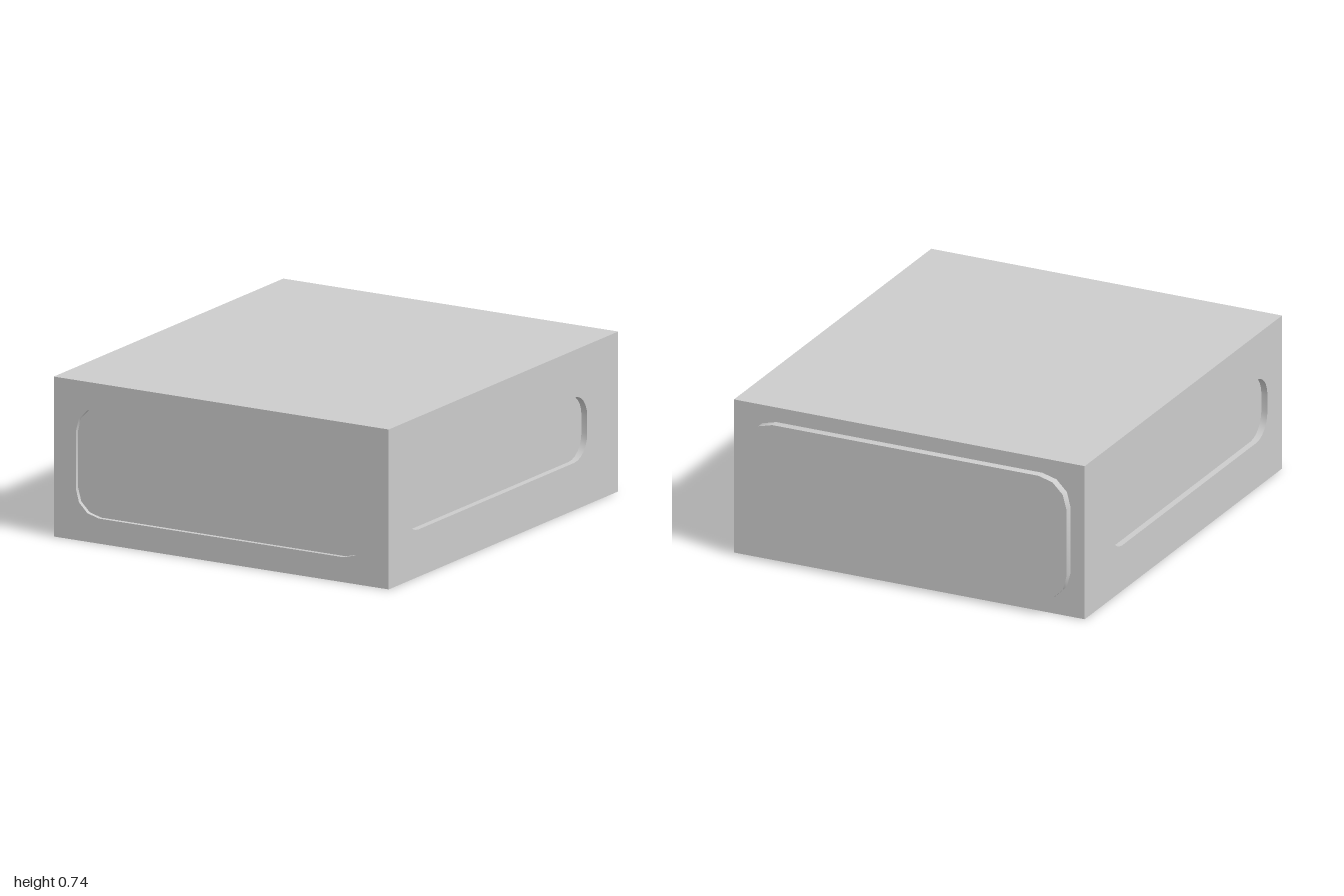
import * as THREE from 'three';
import { toCreasedNormals } from 'three/addons/utils/BufferGeometryUtils.js';

const WIDTH = 1.74, HEIGHT = 0.735, FRONT = 1, BACK = -0.96;
const DEPTH = FRONT - BACK, MID_Z = (FRONT + BACK) / 2;
const material = new THREE.MeshStandardMaterial({ color: 0xcccccc });

// Counter-clockwise rounded rectangle outline centred on (cx, cy)
function roundedOutline(cx, cy, w, h, r, segments) {
  const points = [];
  [[1, 1], [-1, 1], [-1, -1], [1, -1]].forEach(([sx, sy], corner) => {
    for (let i = 0; i <= segments; i++) {
      const a = (corner + i / segments) * Math.PI / 2;
      points.push(new THREE.Vector2(
        cx + sx * (w / 2 - r) + r * Math.cos(a),
        cy + sy * (h / 2 - r) + r * Math.sin(a)));
    }
  });
  return points;
}

// Wall joining the outline at z = 0 to the same outline at z = offset
function wallGeometry(outline, offset) {
  const positions = [], index = [], n = outline.length;
  outline.forEach((p) => positions.push(p.x, p.y, 0, p.x, p.y, offset));
  for (let i = 0; i < n; i++) {
    const a = 2 * i, b = 2 * ((i + 1) % n);
    index.push(a, b, b + 1, a, b + 1, a + 1);
  }
  const geometry = new THREE.BufferGeometry();
  geometry.setAttribute('position', new THREE.Float32BufferAttribute(positions, 3));
  geometry.setIndex(index);
  return toCreasedNormals(geometry, 0.7);
}

function addMesh(parent, name, geometry) {
  const mesh = new THREE.Mesh(geometry, material);
  mesh.name = name;
  parent.add(mesh);
  return mesh;
}

// Flat side of the box with a panel sunk (offset < 0) or raised (offset > 0)
function panelledSide(name, w, h, outline, offset) {
  const side = new THREE.Group();
  side.name = name;
  const surround = new THREE.Shape([
    new THREE.Vector2(-w / 2, -h / 2), new THREE.Vector2(w / 2, -h / 2),
    new THREE.Vector2(w / 2, h / 2), new THREE.Vector2(-w / 2, h / 2)]);
  surround.holes.push(new THREE.Path(outline));
  addMesh(side, name + 'Surround', new THREE.ShapeGeometry(surround));
  // A raised panel reverses the direction of the wall, so it faces outwards
  addMesh(side, name + 'PanelEdge', wallGeometry(outline, offset).clone());
  addMesh(side, name + 'Panel', new THREE.ShapeGeometry(new THREE.Shape(outline)))
    .position.z = offset;
  return side;
}

export function createModel() {
  const model = new THREE.Group();
  model.name = 'box';
  const midY = HEIGHT / 2;

  // Front with a shallow sunk panel
  const front = panelledSide('front', WIDTH, HEIGHT,
    roundedOutline(0, 0, 1.51, 0.505, 0.12, 3), -0.02);
  front.position.set(0, midY, FRONT);
  model.add(front);

  // Back with a raised panel
  const back = panelledSide('back', WIDTH, HEIGHT,
    roundedOutline(0, 0, 1.6, 0.595, 0.14, 3), 0.04);
  back.position.set(0, midY, BACK);
  back.rotation.y = Math.PI;
  model.add(back);

  // Both sides with a long sunk grip, set slightly forward
  for (const s of [1, -1]) {
    const side = panelledSide(s > 0 ? 'leftSide' : 'rightSide', DEPTH, HEIGHT,
      roundedOutline(-s * 0.06, 0, 1.55, 0.3, 0.11, 6), -0.03);
    side.position.set(s * WIDTH / 2, midY, MID_Z);
    side.rotation.y = s * Math.PI / 2;
    model.add(side);
  }

  // Plain top and bottom
  for (const s of [1, -1]) {
    const lid = addMesh(model, s > 0 ? 'top' : 'bottom', new THREE.PlaneGeometry(WIDTH, DEPTH));
    lid.position.set(0, s > 0 ? HEIGHT : 0, MID_Z);
    lid.rotation.x = -s * Math.PI / 2;
  }
  return model;
}
